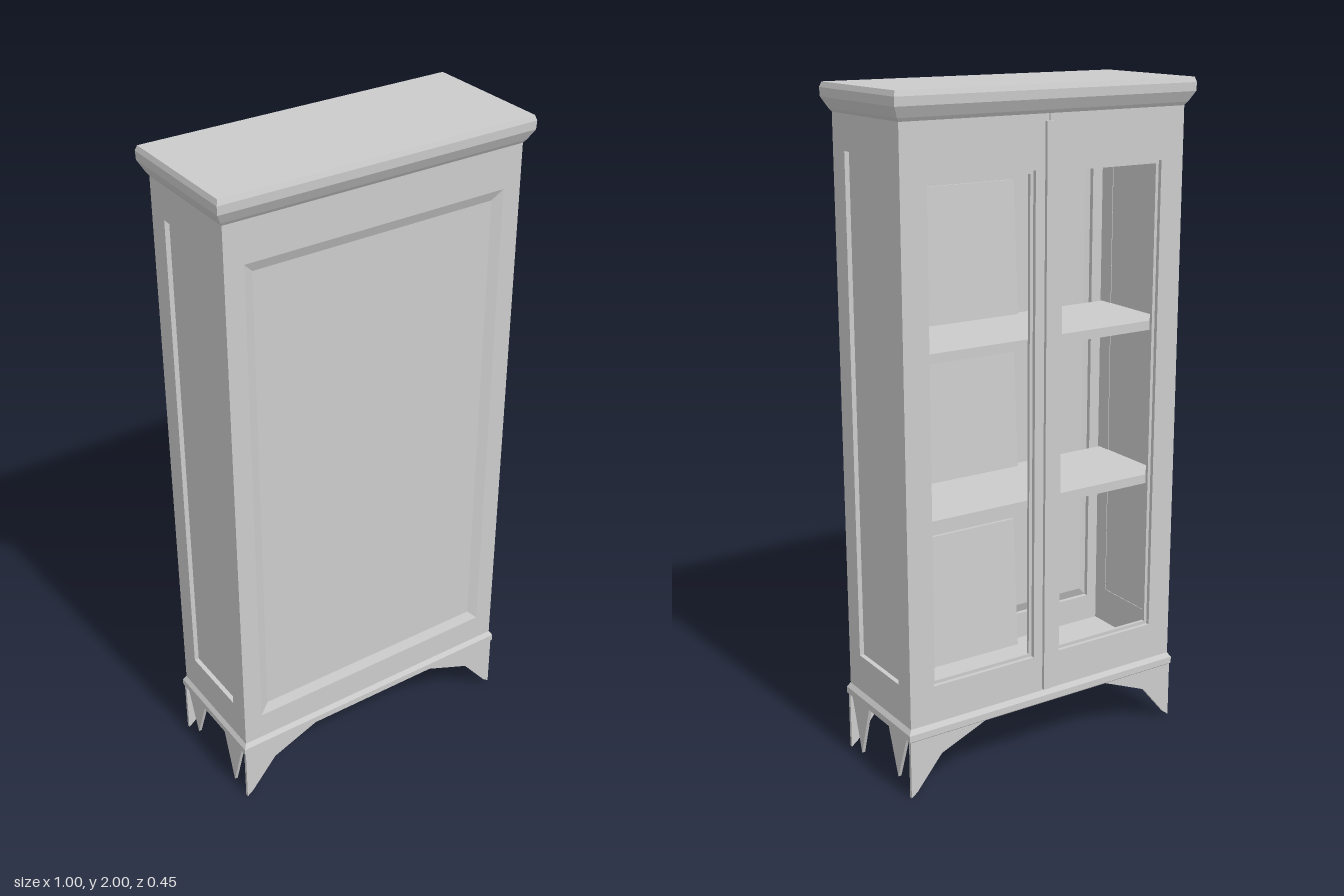
import * as THREE from 'three';

const HW = 0.468, HD = 0.183;      // half width and half depth of the case
const Y0 = 0.18, Y1 = 1.93;        // underside and top of the case
const MID = (Y0 + Y1) / 2;

const mat = new THREE.MeshStandardMaterial({ color: 0xcccccc, flatShading: true, side: THREE.DoubleSide });

function add(parent, name, geo, x = 0, y = 0, z = 0) {
  const m = new THREE.Mesh(geo, mat);
  m.name = name;
  m.position.set(x, y, z);
  parent.add(m);
  return m;
}

const box = (w, h, d) => new THREE.BoxGeometry(w, h, d);

// Rectangular rings [half width, half depth, y] joined, optionally capped at the ends
function loft(rings, capFirst, capLast) {
  const pos = [], idx = [];
  for (const [w, d, y] of rings) pos.push(-w, y, d, w, y, d, w, y, -d, -w, y, -d);
  for (let i = 0; i < rings.length - 1; i++) {
    for (let k = 0; k < 4; k++) {
      const a = i * 4 + k, b = i * 4 + (k + 1) % 4;
      idx.push(a, b, b + 4, a, b + 4, a + 4);
    }
  }
  const n = (rings.length - 1) * 4;
  if (capFirst) idx.push(0, 2, 1, 0, 3, 2);
  if (capLast) idx.push(n, n + 1, n + 2, n, n + 2, n + 3);
  const g = new THREE.BufferGeometry();
  g.setAttribute('position', new THREE.Float32BufferAttribute(pos, 3));
  g.setIndex(idx);
  const flat = g.toNonIndexed();
  flat.computeVertexNormals();
  return flat;
}

function rectPath(target, x0, y0, x1, y1) {
  target.moveTo(x0, y0).lineTo(x1, y0).lineTo(x1, y1).lineTo(x0, y1).closePath();
  return target;
}

// Upright frame in the xy plane with one rectangular opening
function frame(outer, hole, depth) {
  const s = rectPath(new THREE.Shape(), ...outer);
  s.holes.push(rectPath(new THREE.Path(), ...hole));
  return new THREE.ExtrudeGeometry(s, { depth, bevelEnabled: false });
}

function polygon(points, depth) {
  const s = new THREE.Shape(points.map(([x, y]) => new THREE.Vector2(x, y)));
  return new THREE.ExtrudeGeometry(s, { depth, bevelEnabled: false });
}

export function createModel() {
  const root = new THREE.Group();
  root.name = 'cabinet';
  const body = new THREE.Group();
  body.name = 'cabinetBody';
  body.rotation.y = 0.035;
  root.add(body);

  // Closed front wall: frame around a shallow bevelled panel
  add(body, 'frontFrame', frame([-HW, Y0, HW, Y1], [-0.41, 0.3, 0.41, 1.8], 0.014), 0, 0, HD - 0.014);
  const panel = add(body, 'frontPanel',
    loft([[0.41, 0.75, 0], [0.38, 0.72, -0.012]], false, true), 0, 1.05, HD);
  panel.rotation.x = Math.PI / 2;

  // Side walls with a recessed upright panel
  for (const s of [-1, 1]) {
    const side = new THREE.Group();
    side.name = s > 0 ? 'leftSide' : 'rightSide';
    side.rotation.y = s * Math.PI / 2;
    side.position.x = s * HW;
    body.add(side);
    add(side, 'sideFrame', frame([-HD, Y0, HD, Y1], [-0.117, 0.33, 0.117, 1.82], 0.022), 0, 0, -0.022);
    add(side, 'sidePanel', box(0.25, 1.51, 0.006), 0, 1.075, -0.017);
  }

  // Two open-framed doors at the rear and the strip covering their joint
  for (const s of [-1, 1]) {
    const outer = s > 0 ? [0.002, 0.21, HW, 1.92] : [-HW, 0.21, -0.002, 1.92];
    const hole = s > 0 ? [0.045, 0.33, 0.39, 1.77] : [-0.39, 0.33, -0.045, 1.77];
    const inner = [hole[0] + 0.01, hole[1] + 0.01, hole[2] - 0.01, hole[3] - 0.01];
    const door = new THREE.Group();
    door.name = s > 0 ? 'leftDoor' : 'rightDoor';
    body.add(door);
    add(door, 'doorFrame', frame(outer, hole, 0.022), 0, 0, -HD);
    add(door, 'doorRebate', frame(hole, inner, 0.01), 0, 0, -HD + 0.012);
  }
  add(body, 'doorStrip', box(0.028, 1.68, 0.012), 0, 1.06, -HD - 0.004);

  // Floor, ceiling and shelves
  const innerW = 2 * HW - 0.04;
  add(body, 'floor', box(innerW, 0.03, 2 * HD - 0.02), 0, Y0 + 0.02, 0);
  add(body, 'ceiling', box(innerW, 0.02, 2 * HD - 0.02), 0, Y1 - 0.02, 0);
  for (const y of [0.8, 1.28]) {
    add(body, 'shelf', box(innerW, 0.028, 0.31), 0, y, 0.008);
  }

  // Flat boards leaning on the inner wall of each compartment
  for (const [y, h] of [[0.22, 0.42], [0.82, 0.38], [1.3, 0.4]]) {
    const board = add(body, 'leaningBoard', box(0.34, h, 0.012), 0.07, y + h / 2, 0.137);
    board.rotation.x = 0.06;
  }

  // Base moulding and flared cornice
  const ring = (o, y) => [HW + o, HD + o, y];
  add(body, 'baseMoulding', loft([ring(0.004, Y0 - 0.005), ring(0.009, Y0), ring(0.009, 0.2), ring(0, 0.215)], false, false));
  add(body, 'basePlate', box(2 * HW, 0.006, 2 * HD), 0, Y0, 0);
  add(body, 'cornice', loft([ring(0, 1.92), ring(0.007, 1.93), ring(0.023, 1.96),
    ring(0.024, 1.985), ring(0.019, 2)], true, true));

  // Bracket feet: long brackets front and rear, pointed ones on the sides
  const e = HW + 0.005;
  for (const s of [-1, 1]) {
    const pts = [[e, 0.185], [e, 0], [e - 0.02, 0.015], [0.37, 0.115], [0.2, 0.185]];
    const geo = polygon(pts.map(([x, y]) => [s * x, y]), 0.01);
    add(body, 'frontFoot', geo, 0, 0, HD - 0.004);
    add(body, 'rearFoot', geo, 0, 0, -HD - 0.006);
    for (const t of [-1, 1]) {
      const tip = t > 0 ? 0.01 : 0.035;
      const foot = add(body, 'sideFoot',
        polygon([[-0.055, 0.185], [0, tip], [0.055, 0.185]], 0.01), s * HW - 0.005, 0, t * 0.112);
      foot.rotation.y = Math.PI / 2;
    }
  }
  return root;
}
